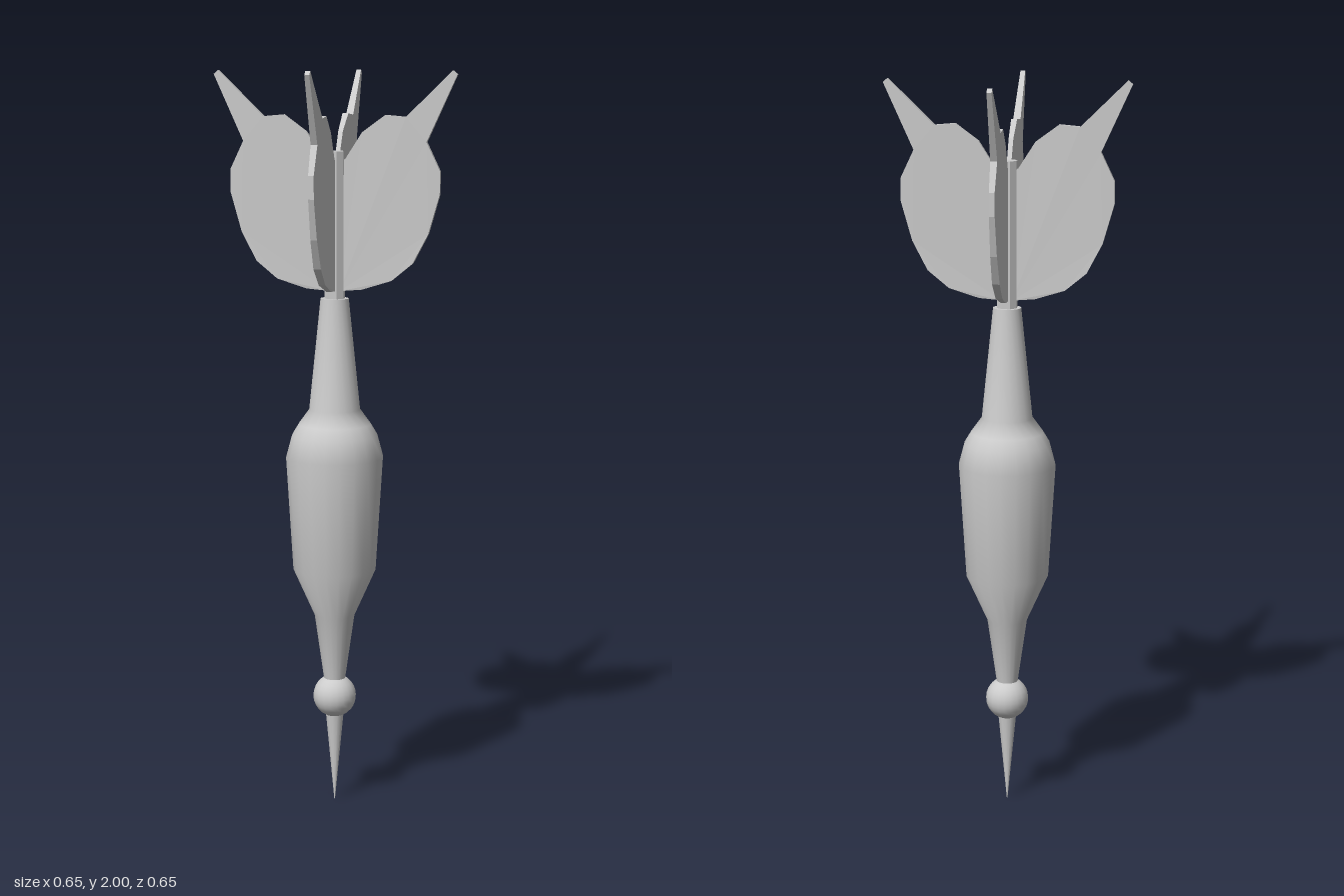
import * as THREE from 'three';

const material = new THREE.MeshStandardMaterial({ color: 0xcccccc });
const v2 = ([x, y]) => new THREE.Vector2(x, y);

function add(parent, name, geometry, y = 0) {
  const mesh = new THREE.Mesh(geometry, material);
  mesh.name = name;
  mesh.position.y = y;
  parent.add(mesh);
  return mesh;
}

// One thin flight blade, thickest midway between shaft and outer edge
function flightGeometry() {
  const outline = [
    [0.015, 1.42], [0.075, 1.425], [0.155, 1.45], [0.212, 1.497], [0.253, 1.575],
    [0.283, 1.68], [0.283, 1.74], [0.247, 1.815], [0.327, 1.99], [0.315, 2.0],
    [0.192, 1.88], [0.137, 1.885], [0.075, 1.84], [0.03, 1.77], [0.015, 1.76],
  ].map(v2);
  const geometry = new THREE.ExtrudeGeometry(new THREE.Shape(outline), { depth: 1, bevelEnabled: false });
  const p = geometry.attributes.position;
  for (let i = 0; i < p.count; i++) {
    const half = 0.006 + 0.004 * Math.exp(-(((p.getX(i) - 0.2) / 0.08) ** 2));
    p.setZ(i, (p.getZ(i) - 0.5) * 2 * half);
  }
  geometry.computeVertexNormals();
  return geometry;
}

export function createModel() {
  const dart = new THREE.Group();
  dart.name = 'dart';

  // Pointed tip and round collar
  add(dart, 'tip', new THREE.CylinderGeometry(0.026, 0.001, 0.26, 12), 0.13);
  add(dart, 'collar', new THREE.SphereGeometry(0.059, 20, 14), 0.3);

  // Turned barrel with a swollen middle
  const profile = [
    [0.028, 0.34], [0.055, 0.53], [0.113, 0.66], [0.132, 0.97],
    [0.116, 1.03], [0.098, 1.06], [0.069, 1.1], [0.038, 1.4],
  ].map(v2);
  add(dart, 'barrel', new THREE.LatheGeometry(profile, 20));
  const cap = add(dart, 'barrelCap', new THREE.CircleGeometry(0.038, 20), 1.4);
  cap.rotation.x = -Math.PI / 2;

  // Eight-sided shaft
  const shaft = new THREE.CylinderGeometry(0.028, 0.028, 0.4, 8).toNonIndexed();
  shaft.computeVertexNormals();
  add(dart, 'shaft', shaft.rotateY(Math.PI / 8), 1.59);

  // Four flights around the shaft
  const flight = flightGeometry();
  for (let i = 0; i < 4; i++) {
    add(dart, 'flight' + (i + 1), flight).rotation.y = (i * Math.PI) / 2;
  }
  return dart;
}
